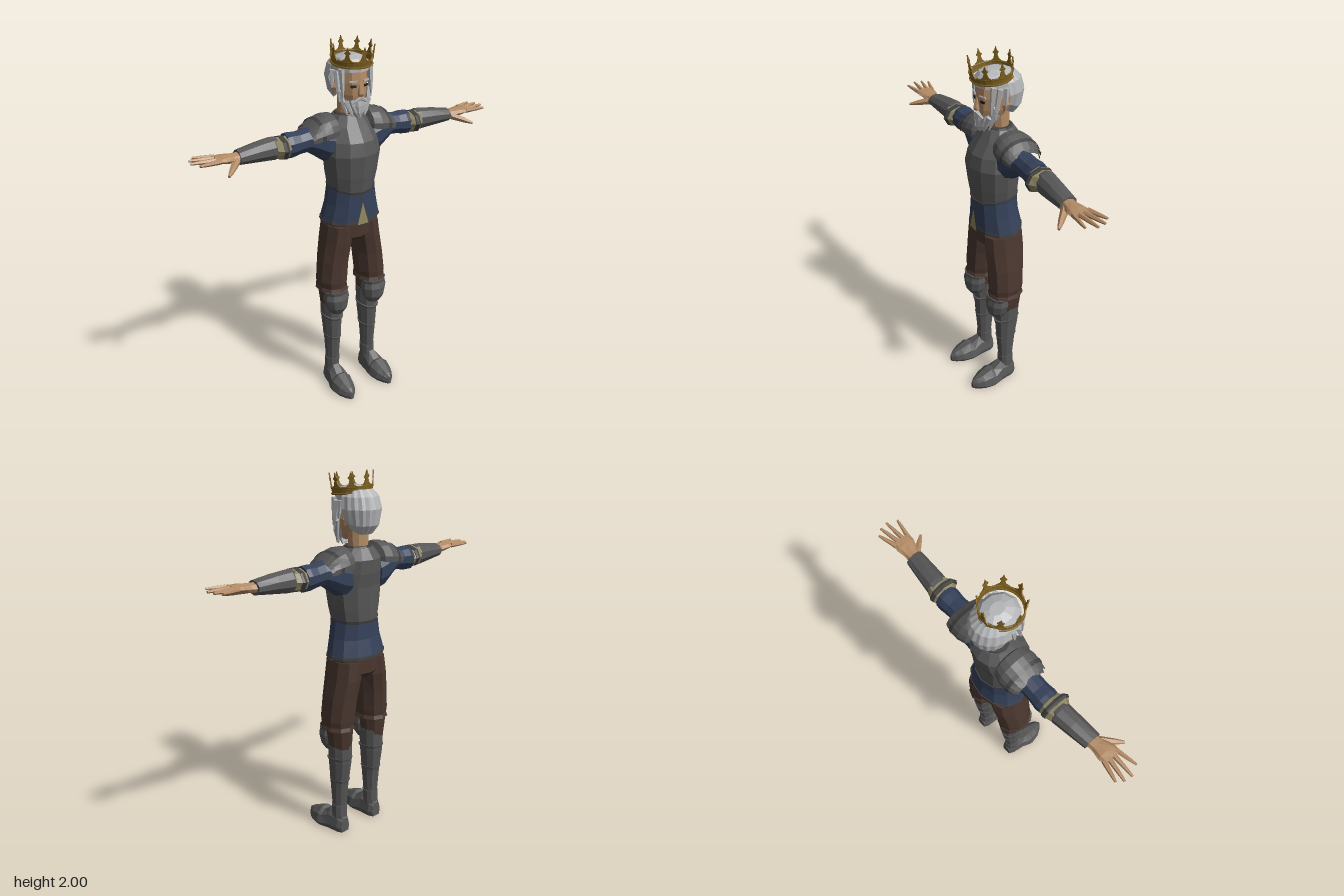
import * as THREE from 'three';

const mat = (name, color) => {
  const m = new THREE.MeshStandardMaterial({ color, side: THREE.DoubleSide });
  m.name = name;
  return m;
};

// Rings are [t, u, v, ru, rv]. Each axis maps ring space (u, t, v) to the world.
const AXES = {
  y: (u, t, v) => [u, t, v],
  x: (u, t, v) => [t, v, u], // rings: x, centre z, centre y, radius z, radius y
  z: (u, t, v) => [v, u, t], // rings: z, centre y, centre x, radius y, radius x
};

function loft(rings, { n = 12, axis = 'y', arc = null, caps = true, ridge = 0, warp = null } = {}) {
  const [a0, a1] = arc ?? [0, Math.PI * 2];
  const grid = rings.map(([t, u, v, ru, rv]) => {
    const row = [];
    for (let i = 0; i <= n; i++) {
      const a = a0 + ((a1 - a0) * i) / n;
      const k = 1 - (i % 2 ? ridge : 0);
      const p = new THREE.Vector3(...AXES[axis](u + ru * k * Math.sin(a), t, v + rv * k * Math.cos(a)));
      if (warp) warp(p);
      row.push(p);
    }
    return row;
  });
  const tris = [];
  for (let j = 0; j < grid.length - 1; j++) {
    for (let i = 0; i < n; i++) {
      const [a, b, c, d] = [grid[j][i], grid[j][i + 1], grid[j + 1][i + 1], grid[j + 1][i]];
      tris.push(a, b, c, a, c, d);
    }
  }
  if (caps && !arc) {
    const first = grid[0], last = grid[grid.length - 1];
    for (let i = 1; i < n - 1; i++) {
      tris.push(first[0], first[i + 1], first[i], last[0], last[i], last[i + 1]);
    }
  }
  const g = new THREE.BufferGeometry().setFromPoints(tris);
  g.computeVertexNormals();
  return g;
}

// Tapered rod between two points
function rod(a, b, r0, r1, n = 6) {
  const A = new THREE.Vector3(...a), B = new THREE.Vector3(...b);
  const d = B.clone().sub(A);
  const g = loft([[0, 0, 0, r0, r0], [d.length() * 0.65, 0, 0, (r0 + r1) / 2, (r0 + r1) / 2], [d.length(), 0, 0, r1, r1]], { n });
  g.applyQuaternion(new THREE.Quaternion().setFromUnitVectors(new THREE.Vector3(0, 1, 0), d.normalize()));
  return g.translate(A.x, A.y, A.z);
}

// Mirror across x = 0 and restore the corner order
function mirrored(geo) {
  const g = (geo.index ? geo.toNonIndexed() : geo.clone()).scale(-1, 1, 1);
  const p = g.attributes.position;
  const b = new THREE.Vector3(), c = new THREE.Vector3();
  for (let i = 0; i < p.count; i += 3) {
    b.fromBufferAttribute(p, i + 1);
    c.fromBufferAttribute(p, i + 2);
    p.setXYZ(i + 1, c.x, c.y, c.z);
    p.setXYZ(i + 2, b.x, b.y, b.z);
  }
  g.computeVertexNormals();
  return g;
}

export function createModel() {
  const root = new THREE.Group();
  root.name = 'armouredKing';
  const steel = mat('steel', 0x575757), edge = mat('darkEdge', 0x3f403f), cloth = mat('blueCloth', 0x35415a);
  const brown = mat('brownCloth', 0x4a372f), skin = mat('skin', 0xb48c66), hair = mat('greyHair', 0xb4b5b7);
  const gold = mat('gold', 0x80621f), tan = mat('tanCloth', 0x8f8663), dark = mat('eyeDark', 0x241f1c);

  const add = (name, geo, m, parent = root) => {
    const mesh = new THREE.Mesh(geo, m);
    mesh.name = name;
    parent.add(mesh);
  };
  const pair = (name, geo, m) => {
    add(name + 'Left', geo, m);
    add(name + 'Right', mirrored(geo), m);
  };

  // Torso
  const dip = (p) => { if (p.y < 1.27) p.y -= 0.022 * Math.max(0, p.z / 0.09); };
  add('breastplate', loft([
    [1.245, 0, -0.035, 0.128, 0.12], [1.31, 0, -0.03, 0.142, 0.128], [1.43, 0, -0.025, 0.158, 0.136],
    [1.5, 0, -0.038, 0.143, 0.135], [1.57, 0, -0.062, 0.125, 0.112], [1.625, 0, -0.06, 0.08, 0.075],
  ], { warp: dip }), steel);
  add('breastplateRim', loft([[1.235, 0, -0.035, 0.132, 0.123], [1.25, 0, -0.035, 0.133, 0.125]], { warp: dip }), edge);
  add('collar', loft([[1.605, 0, -0.06, 0.083, 0.08], [1.632, 0, -0.06, 0.07, 0.066]]), edge);
  add('tunic', loft([
    [1.055, 0, -0.045, 0.171, 0.13], [1.15, 0, -0.036, 0.147, 0.119], [1.28, 0, -0.035, 0.126, 0.115],
  ]), cloth);
  add('tunicHem', loft([[1.046, 0, -0.045, 0.175, 0.133], [1.062, 0, -0.045, 0.172, 0.132]]), edge);
  const gusset = (w, top, z) => {
    const g = new THREE.BufferGeometry().setFromPoints([[-w, 1.046, z], [w, 1.046, z], [0, top, z - 0.003]].map((p) => new THREE.Vector3(...p)));
    g.computeVertexNormals();
    return g;
  };
  add('frontGussetBorder', gusset(0.043, 1.188, 0.09), edge);
  add('frontGusset', gusset(0.034, 1.17, 0.093), tan);

  // Trousers
  add('hips', loft([
    [0.925, 0, -0.05, 0.06, 0.08], [0.96, 0, -0.046, 0.15, 0.114], [1.07, 0, -0.045, 0.158, 0.118],
  ]), brown);
  pair('trouserLeg', loft([
    [0.645, 0.125, -0.037, 0.088, 0.104], [0.665, 0.125, -0.037, 0.08, 0.096], [0.7, 0.124, -0.037, 0.086, 0.1],
    [0.82, 0.112, -0.042, 0.084, 0.104], [0.93, 0.092, -0.046, 0.082, 0.114], [1.03, 0.08, -0.045, 0.078, 0.112],
  ], { n: 10 }), brown);
  pair('kneeCloth', loft([[0.53, 0.121, -0.05, 0.06, 0.072], [0.66, 0.125, -0.045, 0.072, 0.09]], { n: 10 }), brown);

  // Leg armour
  const vee = (p) => { p.y -= 0.25 * Math.max(0, p.z + 0.045); };
  pair('greave', loft([
    [0.15, 0.122, -0.045, 0.037, 0.042], [0.3, 0.121, -0.045, 0.046, 0.056],
    [0.44, 0.12, -0.05, 0.058, 0.07], [0.57, 0.12, -0.05, 0.064, 0.073],
  ], { n: 10 }), steel);
  [[0.315, 0.05, 0.061], [0.455, 0.063, 0.076]].forEach(([y, rx, rz], i) =>
    pair('greaveBand' + (i + 1), loft([[y, 0.12, -0.047, rx - 0.003, rz - 0.003], [y + 0.016, 0.12, -0.047, rx + 0.002, rz + 0.002]], { n: 10, warp: vee }), steel));
  pair('kneeGuard', loft([
    [0.5, 0.122, 0.01, 0.04, 0.04], [0.54, 0.123, 0.014, 0.064, 0.06], [0.595, 0.125, 0.012, 0.076, 0.066],
    [0.625, 0.125, 0.01, 0.07, 0.058], [0.645, 0.125, 0.01, 0.075, 0.062],
  ], { n: 10 }), steel);

  // Boots with flat soles
  const sole = (p) => { p.y = Math.max(0, p.y); };
  pair('ankle', loft([[0.02, 0.124, -0.047, 0.04, 0.047], [0.165, 0.122, -0.045, 0.043, 0.046]], { n: 10 }), steel);
  pair('boot', loft([
    [-0.095, 0.03, 0.124, 0.06, 0.03], [-0.07, 0.03, 0.124, 0.085, 0.046], [0, 0.03, 0.127, 0.1, 0.054],
    [0.05, 0.02, 0.13, 0.075, 0.068], [0.07, 0.02, 0.131, 0.085, 0.07], [0.125, 0.02, 0.132, 0.06, 0.058],
    [0.165, 0.018, 0.132, 0.044, 0.034], [0.19, 0.015, 0.132, 0.03, 0.01],
  ], { n: 10, axis: 'z', warp: sole }), steel);

  // Sleeves and arm armour
  const along = (rings, n = 10, extra = {}) => loft(rings, { n, axis: 'x', ...extra });
  pair('sleeve', along([
    [0.1, -0.055, 1.475, 0.085, 0.1], [0.155, -0.055, 1.49, 0.085, 0.1], [0.21, -0.055, 1.51, 0.072, 0.08],
    [0.25, -0.055, 1.52, 0.06, 0.062], [0.3, -0.056, 1.515, 0.06, 0.06], [0.345, -0.056, 1.512, 0.065, 0.067], [0.37, -0.056, 1.51, 0.062, 0.066],
  ]), cloth);
  pair('elbowCuff', along([[0.36, -0.055, 1.51, 0.058, 0.055], [0.4, -0.042, 1.512, 0.081, 0.058], [0.44, -0.05, 1.515, 0.06, 0.055]], 8), tan);
  pair('elbowBand', along([[0.385, -0.046, 1.512, 0.076, 0.06], [0.4, -0.042, 1.512, 0.083, 0.062], [0.412, -0.044, 1.512, 0.078, 0.06]], 8), edge);
  pair('bracer', along([[0.425, -0.05, 1.515, 0.05, 0.058], [0.445, -0.05, 1.515, 0.058, 0.06], [0.53, -0.043, 1.515, 0.054, 0.051], [0.637, -0.034, 1.512, 0.048, 0.036]]), steel);

  // Shoulder plates: an upper shell with a rim
  const shell = { arc: [-1.75, 1.75] };
  pair('shoulderPlate', along([
    [0.09, -0.06, 1.555, 0.07, 0.05], [0.105, -0.06, 1.555, 0.098, 0.082], [0.15, -0.06, 1.55, 0.11, 0.088],
    [0.2, -0.06, 1.545, 0.108, 0.075], [0.24, -0.06, 1.54, 0.1, 0.05],
  ], 10, shell), steel);
  pair('shoulderPlateRim', along([[0.19, -0.06, 1.545, 0.112, 0.082], [0.21, -0.06, 1.544, 0.109, 0.075]], 10, shell), edge);
  pair('shoulderPlateTip', along([[0.215, -0.06, 1.535, 0.1, 0.06], [0.25, -0.06, 1.528, 0.086, 0.045]], 10, shell), steel);

  // Hands
  pair('palm', along([
    [0.62, -0.034, 1.512, 0.036, 0.027], [0.665, -0.028, 1.515, 0.038, 0.024],
    [0.715, -0.024, 1.523, 0.052, 0.019], [0.755, -0.024, 1.528, 0.05, 0.012],
  ], 8), skin);
  [[-0.063, 0.842, -0.092], [-0.037, 0.868, -0.06], [-0.011, 0.875, -0.018], [0.014, 0.85, 0.034]].forEach(([z, x, tip], i) =>
    pair('finger' + (i + 1), rod([0.74, 1.527, z], [x, 1.532, tip], 0.0135, 0.006), skin));
  pair('thumb', rod([0.655, 1.505, -0.005], [0.735, 1.474, 0.084], 0.021, 0.007), skin);

  // Head
  add('neck', loft([[1.57, 0, -0.065, 0.064, 0.06], [1.63, 0, -0.063, 0.054, 0.05], [1.76, 0, -0.055, 0.056, 0.058]], { n: 10 }), skin);
  add('face', loft([
    [1.655, 0, 0.005, 0.03, 0.04], [1.69, 0, -0.015, 0.055, 0.07], [1.74, 0, -0.03, 0.076, 0.092],
    [1.8, 0, -0.04, 0.085, 0.105], [1.87, 0, -0.045, 0.082, 0.105], [1.9, 0, -0.045, 0.06, 0.08],
  ]), skin);
  add('nose', loft([[1.735, 0, 0.064, 0.015, 0.013], [1.748, 0, 0.066, 0.016, 0.018], [1.8, 0, 0.06, 0.008, 0.009]], { n: 6 }), skin);
  const plate = (w, h, x, y, z) => new THREE.BoxGeometry(w, h, 0.008).rotateY(0.32).translate(x, y, z);
  pair('eye', plate(0.027, 0.012, 0.036, 1.785, 0.053), dark);
  pair('brow', plate(0.04, 0.008, 0.037, 1.81, 0.054), hair);
  pair('ear', loft([[1.735, 0.08, -0.045, 0.008, 0.01], [1.77, 0.088, -0.048, 0.012, 0.02], [1.79, 0.086, -0.048, 0.007, 0.013]], { n: 6 }), skin);

  // Hair and beard
  add('backHair', loft([
    [1.695, 0, -0.07, 0.062, 0.075], [1.74, 0, -0.065, 0.095, 0.113], [1.82, 0, -0.06, 0.112, 0.13],
    [1.88, 0, -0.052, 0.102, 0.12], [1.915, 0, -0.045, 0.074, 0.09],
  ], { n: 20, arc: [1.55, Math.PI * 2 - 1.55], ridge: 0.04, warp: (p) => { if (p.y < 1.76) p.y += 0.5 * Math.max(0, p.z + 0.12); } }), hair);
  add('topHair', loft([
    [1.855, 0, -0.032, 0.094, 0.102], [1.885, 0, -0.035, 0.095, 0.104], [1.915, 0, -0.04, 0.072, 0.084], [1.93, 0, -0.04, 0.03, 0.04],
  ], { n: 20, ridge: 0.05 }), hair);
  add('beard', loft([
    [1.62, 0, 0.04, 0.01, 0.016], [1.65, 0, 0.022, 0.038, 0.043], [1.685, 0, -0.01, 0.066, 0.08], [1.718, 0, -0.02, 0.08, 0.088],
  ], { n: 14, arc: [-1.6, 1.6], ridge: 0.07 }), hair);
  pair('moustache', rod([0, 1.727, 0.068], [0.042, 1.7, 0.054], 0.011, 0.005), hair);
  [[0.085, 1.87, 0.02, 0.084, 1.73, 0.032], [0.098, 1.86, -0.01, 0.094, 1.71, 0.016], [0.1, 1.86, -0.04, 0.107, 1.77, -0.035],
    [0.088, 1.76, 0.005, 0.06, 1.64, 0.03], [0.065, 1.71, 0.03, 0.035, 1.63, 0.048]].forEach(([x, y, z, u, v, w], i) =>
    pair('sideLock' + (i + 1), rod([x, y, z], [u, v, w], 0.017, 0.004, 5), hair));

  // Crown, tipped slightly forward
  const crown = new THREE.Group();
  crown.name = 'crown';
  crown.position.set(0, 1.888, -0.02);
  crown.rotation.x = 0.1;
  root.add(crown);
  add('crownBand', loft([[0, 0, 0, 0.1, 0.104], [0.032, 0, 0, 0.103, 0.108]], { n: 24, caps: false }), gold, crown);
  [0.002, 0.03].forEach((y, i) => add('crownRim' + (i + 1), new THREE.TorusGeometry(0.104, 0.005, 5, 24).rotateX(Math.PI / 2).translate(0, y, 0), gold, crown));
  const outline = [[0.032, 0], [0.014, 0.014], [0.007, 0.036], [0.016, 0.046], [0.007, 0.054], [0, 0.076]];
  const points = [...outline, ...outline.slice(0, -1).reverse().map(([x, y]) => [-x, y])];
  const spike = new THREE.ExtrudeGeometry(new THREE.Shape(points.map((p) => new THREE.Vector2(...p))), { depth: 0.006, bevelEnabled: false });
  spike.rotateX(0.1).translate(0, 0.03, 0.1);
  for (let i = 0; i < 8; i++) {
    add('crownPoint' + (i + 1), spike.clone().rotateY((i * Math.PI) / 4), gold, crown);
  }
  return root;
}
